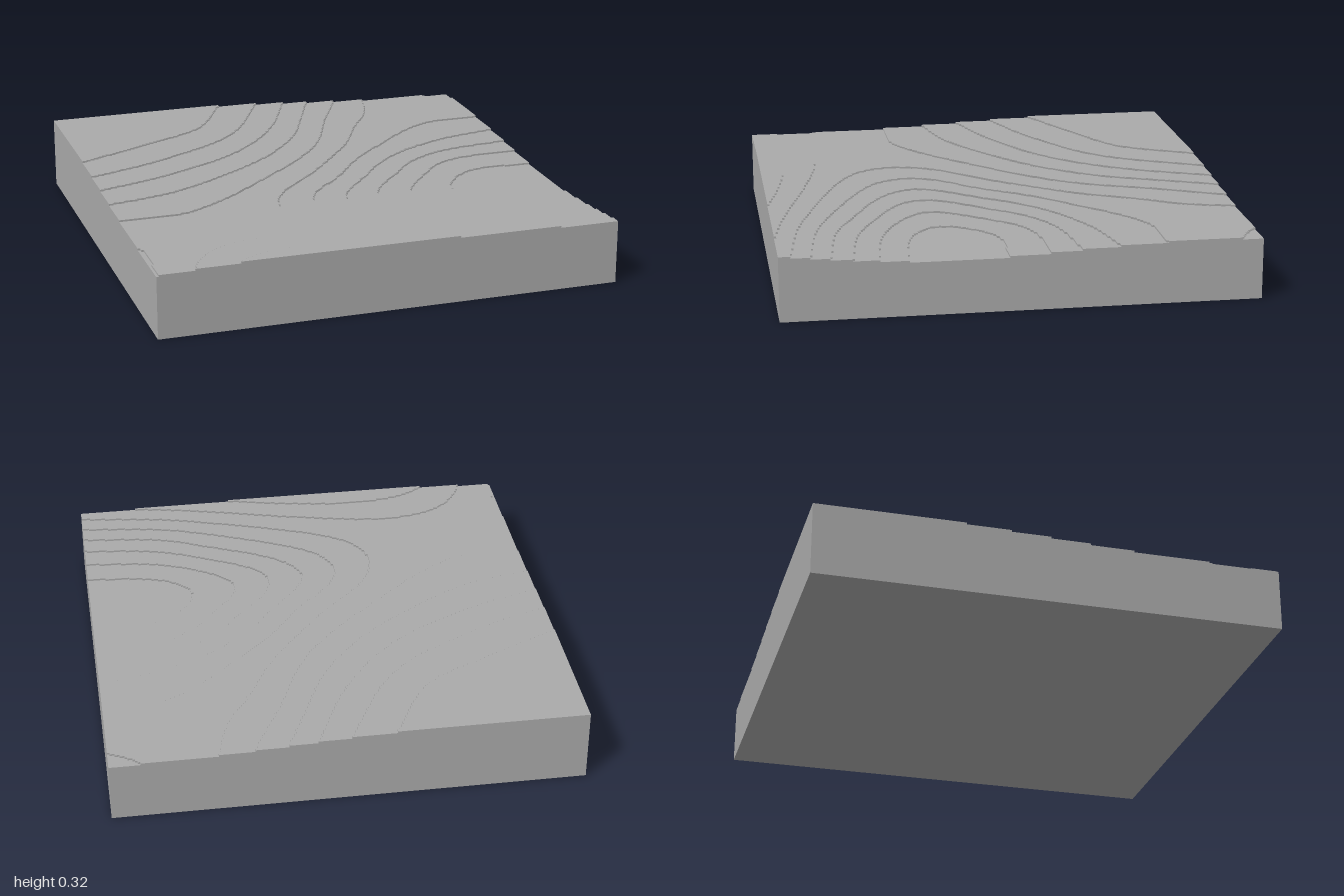
import * as THREE from 'three';

const CELLS = 200;            // columns per side
const SIZE = 2;
const FLOOR_HEIGHT = 0.227;   // height of the lowest terrace
const STEP = 0.00805;         // rise of one terrace
const TOP_LEVEL = 11;

// Terrain control heights, in terraces: rows from back to front, columns from -x to +x
const CONTROL = [
  [11.8, 11.9, 11.55, 10.0, 7.47, 5.4, 4.85],
  [11.9, 11.5, 10.8, 8.9, 6.4, 5.3, 5.2],
  [10.9, 10.2, 9.2, 7.5, 5.4, 4.1, 3.6],
  [9.0, 8.4, 7.4, 5.8, 3.4, 1.45, 1.3],
  [7.12, 7.0, 6.2, 4.15, 2.05, 0.6, 0.3],
  [6.02, 6.65, 6.6, 5.8, 4.6, 3.2, 2.7],
  [5.95, 7.95, 8.7, 8.6, 7.95, 7.2, 6.6],
];

// Smooth curve through evenly spaced values, t from 0 to 1
function spline(values, t) {
  const last = values.length - 1;
  const i = Math.min(Math.floor(t * last), last - 1);
  const f = t * last - i;
  const b = values[i], c = values[i + 1];
  const a = i > 0 ? values[i - 1] : 2 * b - c;
  const d = i + 2 <= last ? values[i + 2] : 2 * c - b;
  return b + 0.5 * f * (c - a + f * (2 * a - 5 * b + 4 * c - d + f * (3 * (b - c) + d - a)));
}

// Stepped height of every column; zero outside the block
function makeHeights() {
  const rows = [];
  for (let j = 0; j < CELLS; j++) {
    const across = CONTROL[0].map((_, k) => spline(CONTROL.map((row) => row[k]), (j + 0.5) / CELLS));
    rows.push(Array.from({ length: CELLS }, (_, i) => {
      const level = Math.floor(spline(across, (i + 0.5) / CELLS));
      return FLOOR_HEIGHT + STEP * THREE.MathUtils.clamp(level, 0, TOP_LEVEL);
    }));
  }
  return (i, j) => (i < 0 || j < 0 || i >= CELLS || j >= CELLS ? 0 : rows[j][i]);
}

// Collects four-cornered faces, corners anticlockwise from outside
class QuadBuilder {
  constructor() { this.points = []; }
  add(a, b, c, d) { this.points.push(...a, ...b, ...c, ...a, ...c, ...d); }
  mesh(name, material) {
    const geometry = new THREE.BufferGeometry();
    geometry.setAttribute('position', new THREE.Float32BufferAttribute(this.points, 3));
    geometry.computeVertexNormals();
    const mesh = new THREE.Mesh(geometry, material);
    mesh.name = name;
    return mesh;
  }
}

export function createModel() {
  const group = new THREE.Group();
  group.name = 'terracedTerrainBlock';
  const stone = new THREE.MeshStandardMaterial({ color: 0xaaaaaa });
  stone.name = 'plainGrey';

  const height = makeHeights();
  const at = (i) => -SIZE / 2 + (SIZE * i) / CELLS;
  const terraces = new QuadBuilder();
  const risers = new QuadBuilder();
  const sides = new QuadBuilder();
  const underside = new QuadBuilder();

  // Flat terrace tops
  for (let j = 0; j < CELLS; j++) {
    for (let i = 0; i < CELLS; i++) {
      const y = height(i, j);
      const x0 = at(i), x1 = at(i + 1), z0 = at(j), z1 = at(j + 1);
      terraces.add([x0, y, z0], [x0, y, z1], [x1, y, z1], [x1, y, z0]);
    }
  }

  // Upright faces wherever neighbouring columns differ, including the outer sides
  for (let k = 0; k <= CELLS; k++) {
    const target = k === 0 || k === CELLS ? sides : risers;
    const p = at(k);
    for (let n = 0; n < CELLS; n++) {
      const q0 = at(n), q1 = at(n + 1);
      // Faces across x
      let before = height(k - 1, n), after = height(k, n);
      let lo = Math.min(before, after), hi = Math.max(before, after);
      if (hi > lo) {
        const [s, e] = before > after ? [q1, q0] : [q0, q1];
        target.add([p, lo, s], [p, lo, e], [p, hi, e], [p, hi, s]);
      }
      // Faces across z
      before = height(n, k - 1);
      after = height(n, k);
      lo = Math.min(before, after);
      hi = Math.max(before, after);
      if (hi > lo) {
        const [s, e] = before > after ? [q0, q1] : [q1, q0];
        target.add([s, lo, p], [e, lo, p], [e, hi, p], [s, hi, p]);
      }
    }
  }

  // Flat underside
  underside.add([-1, 0, -1], [1, 0, -1], [1, 0, 1], [-1, 0, 1]);

  group.add(
    terraces.mesh('terraceTops', stone),
    risers.mesh('terraceRisers', stone),
    sides.mesh('blockSides', stone),
    underside.mesh('underside', stone),
  );
  return group;
}
